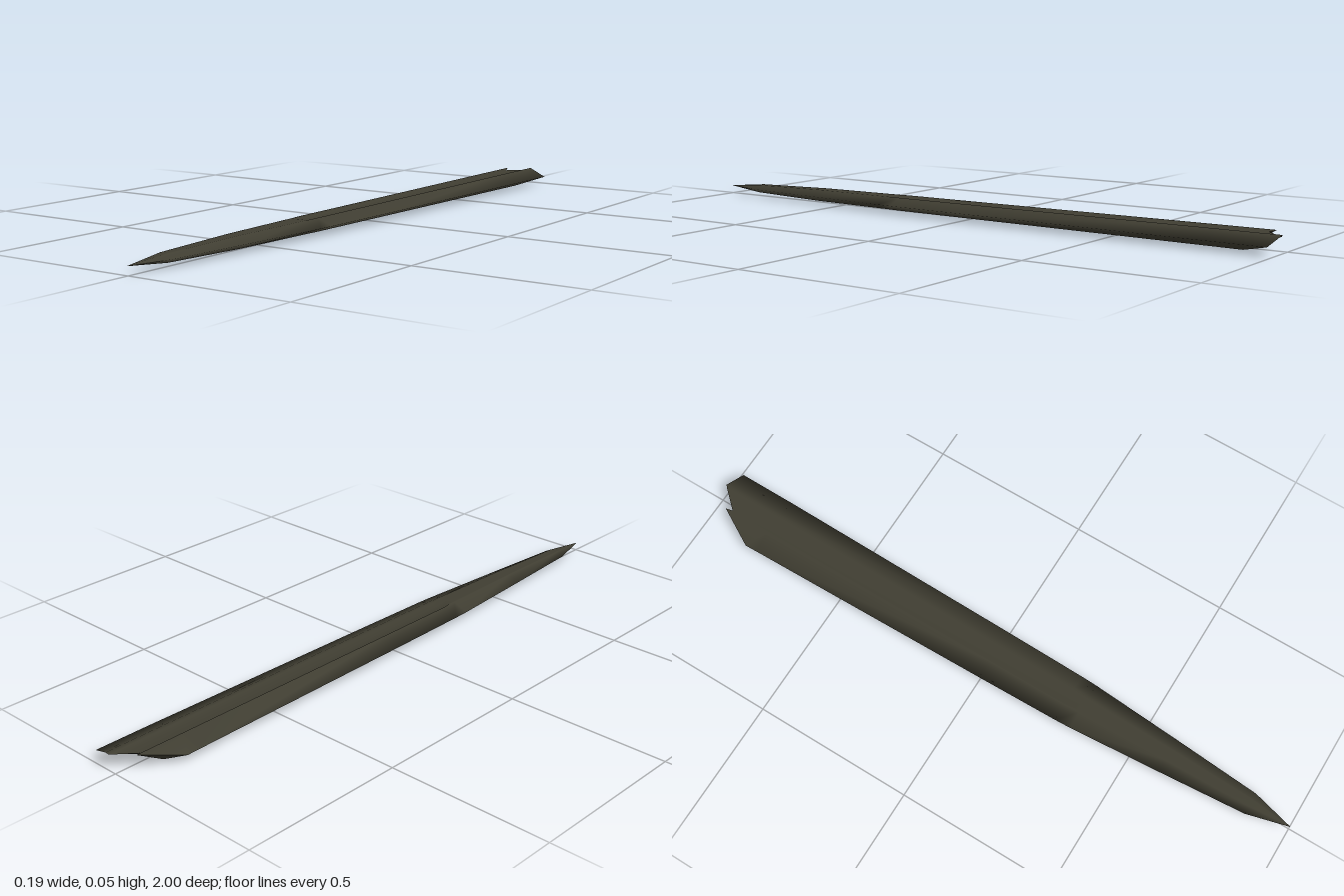
import * as THREE from 'three';

const MID = 0.027; // height of the cutting edges

// Ring of 12 points, counter-clockwise seen from +z: left edge, top, right edge, underside
function ring({ z, w, ridge, h, groove }, breakZ) {
  const inner = ridge * 0.8, floor = h - groove;
  const top = [[w, 0], [ridge, h], [inner, floor], [0, floor], [-inner, floor], [-ridge, h], [-w, 0]];
  const under = top.slice(1, 6).reverse().map(([x, y]) => [x, -y]);
  return [...top, ...under].map(([x, y], i) => [x, MID + y, breakZ ? breakZ[i] : z]);
}

function makeGeometry(points, index) {
  const g = new THREE.BufferGeometry();
  g.setAttribute('position', new THREE.Float32BufferAttribute(points.flat(), 3));
  g.setIndex(index);
  g.computeVertexNormals();
  return g;
}

export function createModel() {
  const group = new THREE.Group();
  group.name = 'brokenBlade';
  const steel = new THREE.MeshStandardMaterial({ color: 0x403e32 });
  steel.name = 'dark steel';

  // Sections from the point back to the break
  const sections = [
    { z: 1.0, w: 0.0005, ridge: 0.0002, h: 0.0005, groove: 0 },
    { z: 0.87, w: 0.035, ridge: 0.013, h: 0.012, groove: 0 },
    { z: 0.6, w: 0.056, ridge: 0.021, h: 0.018, groove: 0 },
    { z: 0.31, w: 0.077, ridge: 0.028, h: 0.0195, groove: 0 },
    { z: 0.26, w: 0.079, ridge: 0.03, h: 0.02, groove: 0.005 },
    { z: 0, w: 0.084, ridge: 0.031, h: 0.021, groove: 0.005 },
    { z: -0.8, w: 0.0965, ridge: 0.034, h: 0.0245, groove: 0.006 },
    { z: -0.9, w: 0.0975, ridge: 0.034, h: 0.025, groove: 0.006 },
  ];
  // Jagged break: depth of each point of the last ring
  const breakZ = [-0.985, -1, -0.995, -0.965, -0.935, -0.955, -0.84, -0.87, -0.87, -0.88, -0.89, -0.89];
  const rings = sections.map((s, i) => ring(s, i === sections.length - 1 ? breakZ : null));

  // Blade surface with sunken fullers on both faces
  const N = 12, index = [];
  for (let r = 0; r < rings.length - 1; r++) {
    for (let i = 0; i < N; i++) {
      const j = (i + 1) % N, a = r * N, b = a + N;
      index.push(b + i, b + j, a + i, b + j, a + j, a + i);
    }
  }
  const blade = new THREE.Mesh(makeGeometry(rings.flat(), index), steel);
  blade.name = 'blade';
  group.add(blade);

  // Slanted fracture face closing the back
  const cap = [];
  for (let i = 0; i < 6; i++) {
    const under = (N - i) % N, next = N - i - 1;
    if (i > 0) cap.push(i, under, i + 1);
    if (i < 5) cap.push(i + 1, under, next);
  }
  const fracture = new THREE.Mesh(makeGeometry(rings[rings.length - 1], cap).toNonIndexed(), steel);
  fracture.geometry.computeVertexNormals();
  fracture.name = 'fractureFace';
  group.add(fracture);

  return group;
}
